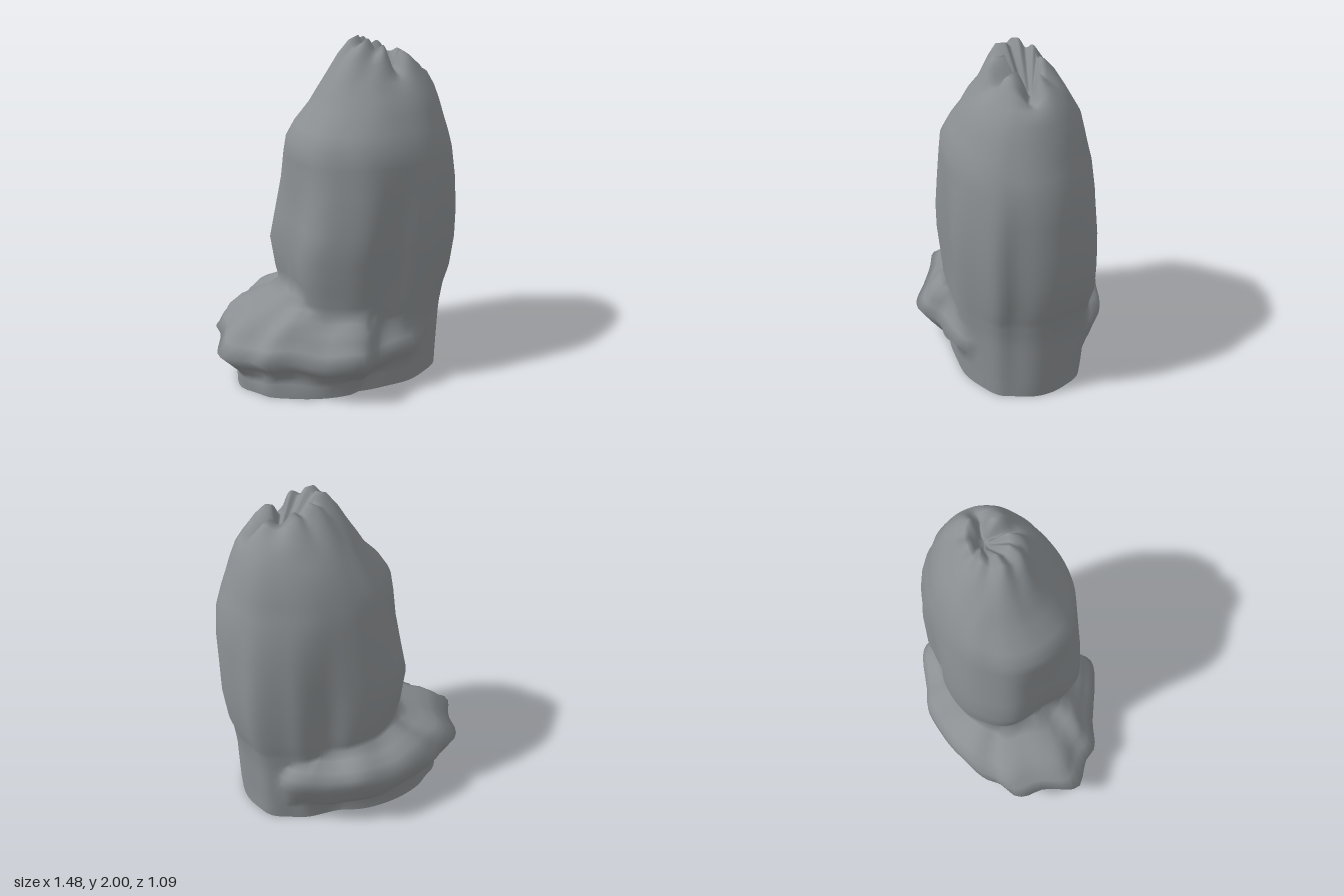
import * as THREE from 'three';

const material = new THREE.MeshStandardMaterial({ color: 0x8b8f92 });
const SIDES = 110;
const CENTER = { x: 0.1, z: 0 };

// Resample a closed loop at even angles around the centre
function trace(points) {
  return Array.from({ length: SIDES }, (_, i) => {
    const a = -Math.PI + (i / SIDES) * 2 * Math.PI, c = Math.cos(a), s = Math.sin(a);
    let radius = 0;
    points.forEach((p, j) => {
      const q = points[(j + 1) % points.length];
      const px = p.x - CENTER.x, pz = p.z - CENTER.z, ex = q.x - p.x, ez = q.z - p.z;
      const den = c * ez - s * ex;
      if (Math.abs(den) < 1e-9) return;
      const along = (px * s - pz * c) / den;
      if (along >= -1e-6 && along <= 1 + 1e-6) radius = Math.max(radius, (px * ez - pz * ex) / den);
    });
    return new THREE.Vector3(CENTER.x + radius * c, 0, CENTER.z + radius * s);
  });
}

// Smooth plan outline, normalised to 0..1 in x and z
function outline(points) {
  const curve = new THREE.CatmullRomCurve3(points.map(([x, z]) => new THREE.Vector3(x, 0, z)), true, 'centripetal');
  const pts = trace(curve.getPoints(150).slice(0, 150));
  const { min, max } = new THREE.Box3().setFromPoints(pts);
  return pts.map(p => [(p.x - min.x) / (max.x - min.x), (p.z - min.z) / (max.z - min.z)]);
}

// Blend an outline towards an ellipse
function rounded(shape, amount) {
  return shape.map(([u, v]) => {
    const k = 1 + amount * (0.5 / Math.hypot(u - 0.5, v - 0.5) - 1);
    return [0.5 + (u - 0.5) * k, 0.5 + (v - 0.5) * k];
  });
}

// Fit an outline to a level [y, xMin, xMax, zMin, zMax]
function ring(shape, [y, x0, x1, z0, z1], heightAt = () => 0) {
  return shape.map(([u, v], i) => new THREE.Vector3(
    x0 + u * (x1 - x0), y + heightAt(u, v, i / SIDES), z0 + v * (z1 - z0)));
}

// Keep whichever of two rings lies further out at each angle
function union(inner, outer) {
  const reach = p => Math.hypot(p.x - CENTER.x, p.z - CENTER.z);
  const a = trace(inner), b = trace(outer);
  return a.map((p, i) => (reach(p) >= reach(b[i])
    ? p.setY(inner[i].y)
    : b[i].setY(outer[i].y)));
}

// Shallow grooves and bulges that drift with height
function roughen(points, amount) {
  points.forEach(p => {
    const a = Math.atan2(p.z, p.x - CENTER.x);
    const k = 1 + amount * (Math.sin(7 * a + 2 * p.y) + 0.6 * Math.sin(11 * a - 5 * p.y + 1));
    p.x = CENTER.x + (p.x - CENTER.x) * k;
    p.z *= k;
  });
}

// Skin a stack of rings with smooth normals, from bottom to top
function loft(rings, name) {
  const index = [];
  for (let r = 0; r < rings.length - 1; r++) {
    for (let j = 0; j < SIDES; j++) {
      const a = r * SIDES + j, b = r * SIDES + (j + 1) % SIDES;
      index.push(a, a + SIDES, b, b, a + SIDES, b + SIDES);
    }
  }
  const geometry = new THREE.BufferGeometry().setFromPoints(rings.flat());
  geometry.setIndex(index);
  geometry.computeVertexNormals();
  const mesh = new THREE.Mesh(geometry, material);
  mesh.name = name;
  return mesh;
}

export function createModel() {
  const group = new THREE.Group();
  group.name = 'rockFormation';

  // Plan of the tall lobed column
  const columnShape = outline([
    [-.32, -.15], [-.26, -.27], [-.15, -.37], [0, -.41], [.13, -.41], [.25, -.37], [.42, -.38], [.5, -.35],
    [.68, -.29], [.71, -.17], [.74, -.05], [.73, .08], [.68, .2], [.67, .3], [.52, .38], [.38, .44],
    [.2, .42], [.02, .43], [-.1, .40], [-.24, .33], [-.285, .25], [-.28, .1],
  ]);

  // Plan of the overhanging ledge around the foot
  const ledgeShape = outline([
    [-.74, .07], [-.66, -.15], [-.65, -.26], [-.6, -.33], [-.5, -.36], [-.43, -.44], [-.3, -.5], [-.13, -.54],
    [.08, -.55], [.2, -.51], [.3, -.48], [.5, -.37], [.54, -.15], [.52, .1], [.46, .3], [.38, .42], [.27, .46],
    [.07, .48], [-.03, .545], [-.2, .49], [-.3, .43], [-.42, .35], [-.57, .28], [-.6, .2], [-.68, .13],
  ]);
  // The ledge waves up and down
  const lift = (u, v, t) => 0.02 * (0.5 - v) + 0.012 * Math.sin(t * Math.PI * 18);

  // Foot: column and ledge merged into one skin
  const foot = [
    [0, -.6, .4, -.4, .385],
    [.09, -.6, .4, -.4, .385],
    [.12, -.61, .48, -.44, .43],
    [.19, -.67, .52, -.49, .485],
    [.27, -.74, .54, -.52, .545],
    [.325, -.68, .54, -.54, .505],
    [.38, -.63, .53, -.535, .48],
    [.43, -.565, .5, -.505, .46],
    [.465, -.48, .44, -.44, .42],
    [.505, -.39, .36, -.37, .35],
    [.55, -.28, .25, -.25, .25],
  ].map((level, i) => {
    const y = level[0], flare = Math.max(0, y - 0.4);
    const core = ring(rounded(columnShape, 0.6 - 0.5 * y), [
      y, -.275 - .06 * flare, .655 + .03 * y + .1 * flare, -.355 - .06 * y, .39 + .03 * y + .05 * flare]);
    return union(core, ring(rounded(ledgeShape, i < 2 ? 0.6 : 0), level, i > 0 ? lift : undefined));
  });

  // Column above the ledge, rounder towards the top
  const shaft = [
    [.65, -.3, .715, -.4, .42],
    [.83, -.33, .735, -.4, .435],
    [1.0, -.3, .735, -.4, .445],
    [1.2, -.275, .735, -.385, .44],
    [1.36, -.27, .72, -.365, .43],
    [1.45, -.26, .69, -.345, .42],
    [1.53, -.21, .665, -.325, .385],
    [1.63, -.12, .635, -.295, .34],
    [1.71, -.075, .605, -.25, .3],
    [1.78, -.03, .57, -.21, .245],
  ].map(level => ring(rounded(columnShape, THREE.MathUtils.clamp((level[0] - 0.8) / 0.65, 0.2, 0.9)), level));
  [...foot.slice(1), ...shaft].forEach(points => roughen(points, 0.006));

  // Ragged crown: high towards -x, split by clefts at +x and in front, sinking to a hollow
  const dent = (d, width) => Math.exp(-((d / width) ** 2));
  const clefts = (u, v) => (u > 0.6 ? -0.08 * dent(v - 0.55, 0.14) : 0) + (v > 0.6 ? -0.07 * dent(u - 0.57, 0.12) : 0);
  const crown = (u, v, t) => 0.1 * (1 - u) + 0.02 * Math.sin(t * Math.PI * 14) + clefts(u, v);
  const crownShape = rounded(columnShape, 0.9);
  const top = [
    ring(crownShape, [1.835, .04, .52, -.15, .2], (u, v, t) => 0.6 * crown(u, v, t)),
    ring(crownShape, [1.865, .1, .47, -.1, .165], crown),
    ring(crownShape, [1.875, .16, .43, -.07, .11], (u, v, t) => crown(u, v, t) + 0.01),
    ring(crownShape, [1.78, .31, .39, -.02, .05]),
    ring(crownShape, [1.76, .36, .36, .02, .02]),
  ];
  group.add(loft([...foot, ...shaft, ...top], 'columnAndLedge'));

  // Flat underside
  const middle = new THREE.Vector3(CENTER.x, 0, CENTER.z);
  group.add(loft([foot[0].map(() => middle), foot[0]], 'underside'));

  return group;
}
